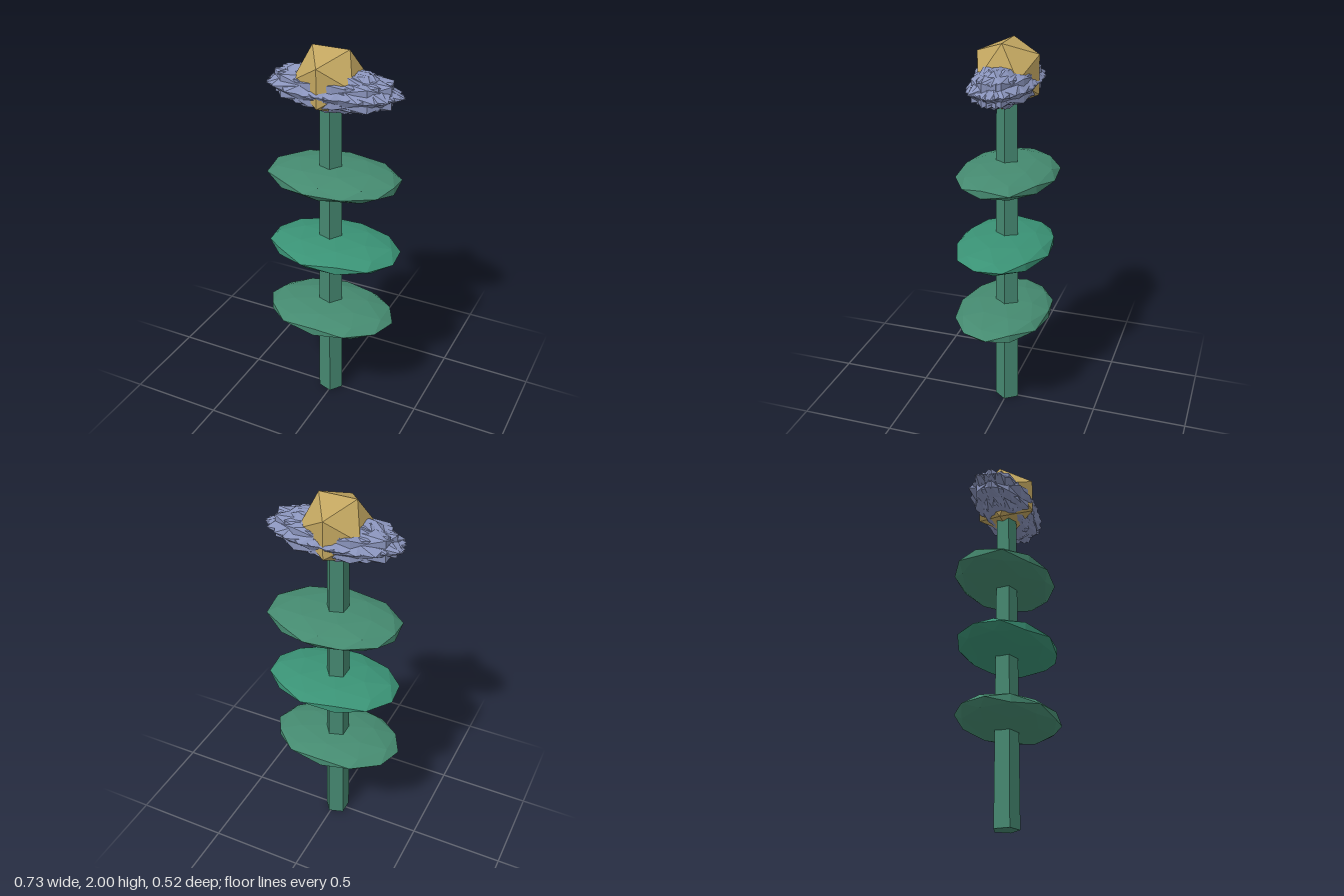
import * as THREE from 'three';

const AXIS_X = -0.013; // the stem stands slightly off centre

function part(name, geometry, color, x, y, z) {
  const material = new THREE.MeshStandardMaterial({ color, flatShading: true });
  const mesh = new THREE.Mesh(geometry, material);
  mesh.name = name;
  mesh.position.set(x, y, z);
  return mesh;
}

export function createModel() {
  const flower = new THREE.Group();
  flower.name = 'flower';

  // Tapered five-sided stem, one corner towards +x
  const stem = new THREE.CylinderGeometry(0.057, 0.069, 1.78, 5);
  stem.rotateY(Math.PI / 2);
  flower.add(part('stem', stem, 0x458770, AXIS_X, 0.89, 0));

  // Three flat faceted leaf discs: height, x, z, turn, colour
  const leaves = [
    [0.543, -0.008, 0.015, -0.51, 0x458a70],
    [0.94, 0.009, 0.005, -0.2, 0x3a9275],
    [1.337, 0, -0.008, -1.15, 0x458a70],
  ];
  leaves.forEach(([y, x, z, turn, color], i) => {
    const leaf = new THREE.IcosahedronGeometry(1, 1);
    leaf.rotateY(turn);
    leaf.scale(0.358, 0.067, 0.255);
    flower.add(part(`leaf${i + 1}`, leaf, color, x, y, z));
  });

  // Petals: flattened icosahedra turned about the upright axis, overlapping into a spiky head
  const petals = new THREE.Group();
  petals.name = 'petals';
  const count = 12;
  for (let i = 0; i < count; i++) {
    const turn = (i * Math.PI) / count + 0.06 * Math.sin(i * 5.3);
    const petal = new THREE.IcosahedronGeometry(1, 0);
    petal.rotateY(turn);
    petal.scale(0.358, 0.109, 0.166);
    const dx = 0.012 * Math.cos(i * 2.4);
    const dz = 0.006 * Math.sin(i * 2.4);
    petals.add(part(`petal${i + 1}`, petal, 0x8a94bc, dx, 1.805 + 0.003 * Math.sin(i * 1.7), dz));
  }
  flower.add(petals);

  // Golden flower centre
  flower.add(part('flowerCentre', new THREE.IcosahedronGeometry(0.185, 0), 0xc2a660, AXIS_X, 1.843, 0));

  return flower;
}
